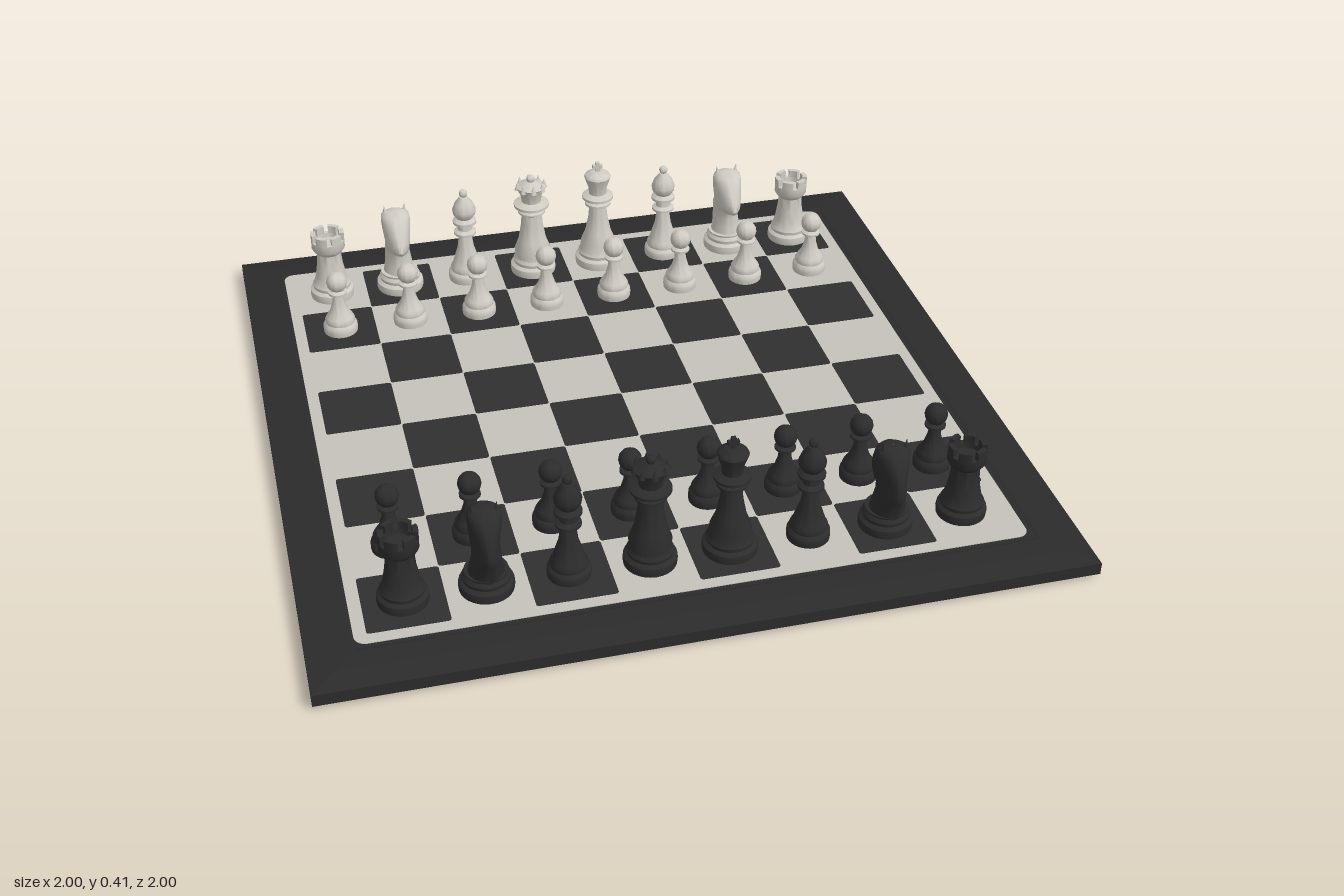
import * as THREE from 'three';
import { mergeVertices, toCreasedNormals } from 'three/addons/utils/BufferGeometryUtils.js';

const material = (name, color) => {
  const m = new THREE.MeshStandardMaterial({ color });
  m.name = name;
  return m;
};
const frameBlack = material('frame black', 0x2b2b2b);
const squareBlack = material('square black', 0x303030);
const squareIvory = material('square ivory', 0xc4c2b9);
const pieceBlack = material('piece black', 0x2c2c2c);
const pieceIvory = material('piece ivory', 0xcfcbc3);

const PITCH = 0.2097, CENTRE = -0.008, TOP = 0.058;
const cell = i => CENTRE + (i - 3.5) * PITCH;

function add(group, name, geometry, mat, x = 0, y = 0, z = 0) {
  const mesh = new THREE.Mesh(geometry, mat);
  mesh.name = name;
  mesh.position.set(x, y, z);
  group.add(mesh);
  return mesh;
}

// Turned profile: [radius, height] pairs from bottom to top
const turned = (points, segments = 28) => toCreasedNormals(
  new THREE.LatheGeometry(points.map(p => new THREE.Vector2(...p)), segments), 0.7);

// Thin horizontal plate with rounded corners
function plate(size, radius, thickness) {
  const h = size / 2, r = radius, s = new THREE.Shape();
  s.absarc(h - r, h - r, r, 0, Math.PI / 2);
  s.absarc(-h + r, h - r, r, Math.PI / 2, Math.PI);
  s.absarc(-h + r, -h + r, r, Math.PI, Math.PI * 1.5);
  s.absarc(h - r, -h + r, r, Math.PI * 1.5, Math.PI * 2);
  return new THREE.ExtrudeGeometry(s, { depth: thickness, bevelEnabled: false, curveSegments: 5 })
    .rotateX(-Math.PI / 2);
}

// Moulded foot shared by all pieces
const foot = r => [[0, 0], [r, 0], [r * 1.02, 0.012], [r, 0.024], [r * 0.86, 0.032],
  [r * 0.88, 0.042], [r * 0.78, 0.052]];

// Ball as the end of a profile
function ball(r, y) {
  const out = [];
  for (let i = 1; i <= 8; i++) {
    const a = -Math.PI / 2 + 0.35 + (i - 1) / 7 * (Math.PI - 0.35);
    out.push([Math.max(0, Math.cos(a) * r), y + Math.sin(a) * r]);
  }
  return out;
}

const pawnBody = turned([...foot(0.05), [0.027, 0.07], [0.018, 0.1], [0.016, 0.122],
  [0.028, 0.129], [0.028, 0.135], [0.016, 0.14], ...ball(0.031, 0.166)]);

const rookBody = turned([...foot(0.065), [0.045, 0.075], [0.039, 0.11], [0.036, 0.15],
  [0.044, 0.158], [0.05, 0.168], [0.05, 0.193], [0.036, 0.193], [0.034, 0.18], [0, 0.18]]);

const bishopBody = turned([...foot(0.056), [0.036, 0.075], [0.025, 0.11], [0.02, 0.15],
  [0.034, 0.158], [0.034, 0.165], [0.022, 0.172], [0.021, 0.188], [0.036, 0.195], [0.036, 0.203],
  [0.024, 0.212], [0.034, 0.226], [0.036, 0.24], [0.028, 0.262], [0.012, 0.283],
  ...ball(0.013, 0.295)]);

const queenBody = turned([...foot(0.069), [0.056, 0.075], [0.043, 0.11], [0.034, 0.16],
  [0.031, 0.198], [0.042, 0.205], [0.042, 0.211], [0.034, 0.217], [0.054, 0.227], [0.054, 0.235],
  [0.03, 0.243], [0.032, 0.262], [0.046, 0.294], [0.04, 0.297], [0.024, 0.304], [0.01, 0.31],
  ...ball(0.013, 0.318)]);

const kingBody = turned([...foot(0.071), [0.054, 0.075], [0.04, 0.11], [0.03, 0.16],
  [0.026, 0.198], [0.04, 0.205], [0.04, 0.212], [0.03, 0.218], [0.048, 0.227], [0.048, 0.235],
  [0.027, 0.243], [0.028, 0.262], [0.041, 0.3], [0.038, 0.306], [0.02, 0.314], [0.008, 0.318], [0, 0.318]]);

const knightFoot = turned([...foot(0.07), [0.056, 0.058], [0, 0.06]]);

// Knight head: pointed oval rings of [height, back, front, half width]
function knightHeadGeometry() {
  const rings = [[0.045, -0.055, 0.052, 0.05], [0.08, -0.062, 0.045, 0.042], [0.115, -0.078, 0.04, 0.037],
    [0.138, -0.086, 0.045, 0.036], [0.147, -0.087, 0.08, 0.036], [0.16, -0.087, 0.09, 0.037],
    [0.18, -0.084, 0.083, 0.039], [0.205, -0.077, 0.066, 0.042], [0.23, -0.064, 0.048, 0.044],
    [0.247, -0.05, 0.03, 0.042], [0.257, -0.03, 0.01, 0.028], [0.258, -0.01, -0.009, 0.001]];
  const N = 24, pos = [], index = [];
  rings.forEach(([y, back, front, w], k) => {
    for (let i = 0; i < N; i++) {
      const a = i / N * Math.PI * 2, s = Math.sin(a);
      pos.push(w * Math.sign(s) * Math.abs(s) ** 1.3, y, (front + back) / 2 + (front - back) / 2 * Math.cos(a));
      if (k) {
        const j = (i + 1) % N, p = (k - 1) * N, q = k * N;
        index.push(p + i, p + j, q + j, p + i, q + j, q + i);
      }
    }
  });
  const g = new THREE.BufferGeometry();
  g.setAttribute('position', new THREE.Float32BufferAttribute(pos, 3));
  g.setIndex(index);
  return toCreasedNormals(mergeVertices(g, 1e-5), 0.9);
}
const knightHead = knightHeadGeometry();
const ear = new THREE.ConeGeometry(0.015, 0.06, 10);

// One merlon of the rook's battlement
const merlonShape = new THREE.Shape();
merlonShape.absarc(0, 0, 0.05, -0.36, 0.36, false);
merlonShape.absarc(0, 0, 0.036, 0.36, -0.36, true);
const merlon = new THREE.ExtrudeGeometry(merlonShape, { depth: 0.025, bevelEnabled: false, curveSegments: 5 })
  .rotateX(-Math.PI / 2);
const crownPoint = new THREE.ConeGeometry(0.01, 0.028, 8);

const builders = {
  pawn: (g, m) => add(g, 'pawnBody', pawnBody, m),
  rook(g, m) {
    add(g, 'rookBody', rookBody, m);
    for (let i = 0; i < 6; i++) add(g, 'merlon', merlon, m, 0, 0.192, 0).rotation.y = i * Math.PI / 3;
  },
  knight(g, m) {
    add(g, 'knightFoot', knightFoot, m);
    add(g, 'horseHead', knightHead, m);
    for (const s of [-1, 1]) add(g, 'ear', ear, m, s * 0.028, 0.247, -0.018).rotation.z = -s * 0.12;
  },
  bishop: (g, m) => add(g, 'bishopBody', bishopBody, m),
  queen(g, m) {
    add(g, 'queenBody', queenBody, m);
    for (let i = 0; i < 8; i++) {
      const a = i * Math.PI / 4;
      add(g, 'crownPoint', crownPoint, m, Math.cos(a) * 0.041, 0.299, Math.sin(a) * 0.041);
    }
  },
  king(g, m) {
    add(g, 'kingBody', kingBody, m);
    add(g, 'crossUpright', new THREE.BoxGeometry(0.012, 0.034, 0.012), m, 0, 0.331, 0);
    add(g, 'crossArm', new THREE.BoxGeometry(0.03, 0.011, 0.012), m, 0, 0.333, 0);
  },
};

export function createModel() {
  const model = new THREE.Group();
  model.name = 'chessSet';

  // Board: square moulding with a sloping rim and slightly bellied underside
  const r2 = Math.SQRT2;
  const moulding = [[0, 0], [0.45, 0], [0.98, 0.006], [1, 0.012], [1, 0.046], [0.94, 0.055],
    [0.885, 0.058], [0.875, 0.0555], [0, 0.0555]].map(([x, y]) => new THREE.Vector2(x * r2, y));
  const frame = new THREE.LatheGeometry(moulding, 4, Math.PI / 4).toNonIndexed();
  frame.computeVertexNormals();
  add(model, 'boardFrame', frame, frameBlack);

  // Small feet under the corners
  for (const x of [-0.94, 0.94]) for (const z of [-0.94, 0.94])
    add(model, 'boardFoot', new THREE.CylinderGeometry(0.018, 0.018, 0.006, 14), frameBlack, x, 0.004, z);

  // Playing field and dark squares
  add(model, 'playingField', plate(1.742, 0.03, 0.003), squareIvory, CENTRE, 0.0545, CENTRE);
  const square = plate(0.209, 0.008, 0.0025);
  for (let i = 0; i < 8; i++) for (let j = 0; j < 8; j++)
    if ((i + j) % 2) add(model, 'darkSquare', square, squareBlack, cell(i), 0.0562, cell(j));

  // Both armies, each facing the middle of the board
  const backRank = ['rook', 'knight', 'bishop', 'queen', 'king', 'bishop', 'knight', 'rook'];
  const place = (kind, i, j, dark) => {
    const piece = new THREE.Group();
    piece.name = (dark ? 'dark ' : 'light ') + kind;
    builders[kind](piece, dark ? pieceBlack : pieceIvory);
    piece.position.set(cell(i), TOP, cell(j));
    if (dark) piece.rotation.y = Math.PI;
    model.add(piece);
  };
  backRank.forEach((kind, i) => {
    place(kind, i, 0, false);
    place('pawn', i, 1, false);
    place('pawn', i, 6, true);
    place(kind, i, 7, true);
  });
  return model;
}
